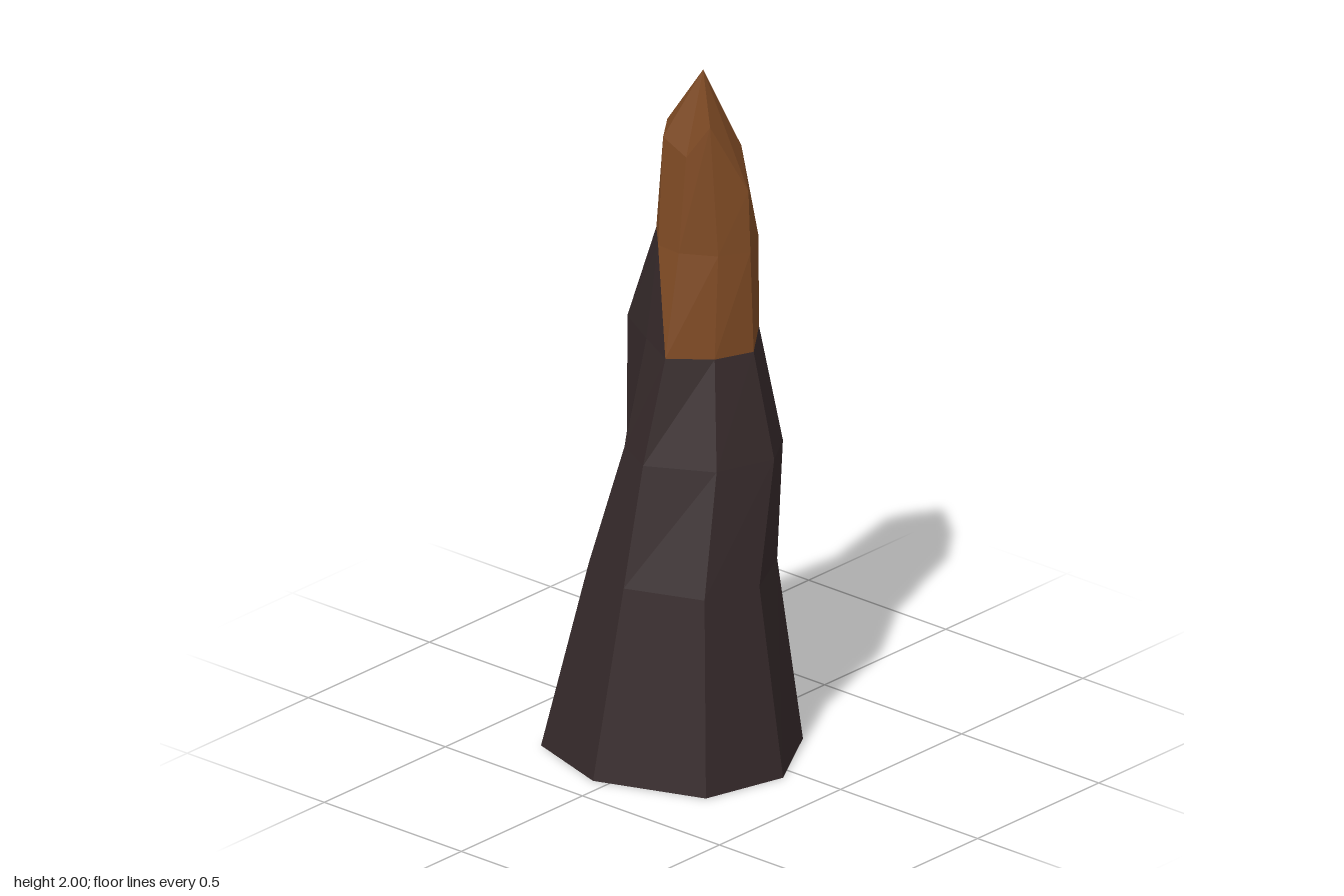
import * as THREE from 'three';

const rockMat = new THREE.MeshStandardMaterial({ color: 0x35292a, flatShading: true, side: THREE.DoubleSide });
rockMat.name = 'dark rock';
const tipMat = new THREE.MeshStandardMaterial({ color: 0x7e4a24, flatShading: true, side: THREE.DoubleSide });
tipMat.name = 'rusty brown';

// Eight-sided cross-section: x,z corners from the right side round the front; lift shifts single corners in height
function section(y, corners, lift = {}) {
  return corners.map(([x, z], i) => new THREE.Vector3(x, y + (lift[i] || 0), z));
}

const base = section(0, [[-0.405, -0.045], [-0.29, 0.265], [-0.045, 0.33], [0.19, 0.195],
  [0.4, -0.1], [0.15, -0.225], [-0.12, -0.335], [-0.32, -0.31]]);
const skirt = section(0.54, [[-0.29, -0.035], [-0.205, 0.185], [-0.035, 0.235], [0.14, 0.145],
  [0.285, -0.075], [0.1, -0.155], [-0.085, -0.235], [-0.225, -0.22]], { 5: 0.04 });
const waist = section(0.88, [[-0.21, -0.035], [-0.11, 0.145], [0.06, 0.205], [0.175, 0.135],
  [0.145, -0.035], [0.125, -0.12], [-0.055, -0.23], [-0.145, -0.16]]);
const shoulder = section(1.18, [[-0.135, -0.02], [-0.05, 0.085], [0.06, 0.13], [0.15, 0.07],
  [0.165, -0.035], [0.12, -0.13], [-0.035, -0.247], [-0.1, -0.12]], { 3: 0.03, 4: 0.02, 5: 0.07, 6: 0.03, 7: 0.02 });
const neck = section(1.48, [[-0.085, -0.015], [-0.03, 0.08], [0.05, 0.127], [0.15, 0.068],
  [0.145, -0.05], [0.12, -0.13], [-0.025, -0.15], [-0.08, -0.095]], { 4: 0.02, 6: 0.02 });
const crown = section(1.76, [[-0.06, -0.01], [-0.035, 0.055], [0.05, 0.12], [0.1, 0.05],
  [0.145, -0.015], [0.115, -0.125], [0, -0.132], [-0.065, -0.09]], { 1: 0.1, 2: -0.1, 4: -0.03, 6: 0.06, 7: 0.04 });
const peak = new THREE.Vector3(0.01, 2, -0.01);

// Joins two sections; '/' runs each panel's crease up to the next corner, '\' up to the first.
// Each panel gives its lower triangle to one list and its upper triangle to another.
function band(low, high, creases, lower, upper) {
  for (let i = 0; i < 8; i++) {
    const j = (i + 1) % 8;
    if (creases[i] === '/') {
      lower(i).push(low[i], low[j], high[j]);
      upper(i).push(low[i], high[j], high[i]);
    } else {
      lower(i).push(low[i], low[j], high[i]);
      upper(i).push(low[j], high[j], high[i]);
    }
  }
}

function facetMesh(name, points, material) {
  const geometry = new THREE.BufferGeometry().setFromPoints(points);
  geometry.computeVertexNormals();
  const mesh = new THREE.Mesh(geometry, material);
  mesh.name = name;
  return mesh;
}

export function createModel() {
  const rock = [], tip = [];
  const inRock = () => rock, inTip = () => tip;

  // Flared rock body, open underneath
  band(base, skirt, '////////', inRock, inRock);
  band(skirt, waist, '////\\///', inRock, inRock);
  band(waist, shoulder, '////////', inRock, inRock);

  // Jagged colour change: rock spikes reach up the left side and back
  band(shoulder, neck, '////\\//\\', (i) => (i < 3 ? tip : rock), (i) => (i === 6 ? rock : tip));

  // Pointed tip
  band(neck, crown, '//\\/////', inTip, inTip);
  for (let i = 0; i < 8; i++) tip.push(crown[i], crown[(i + 1) % 8], peak);

  const group = new THREE.Group();
  group.name = 'rockSpire';
  group.add(facetMesh('rockBody', rock, rockMat), facetMesh('spireTip', tip, tipMat));
  return group;
}
